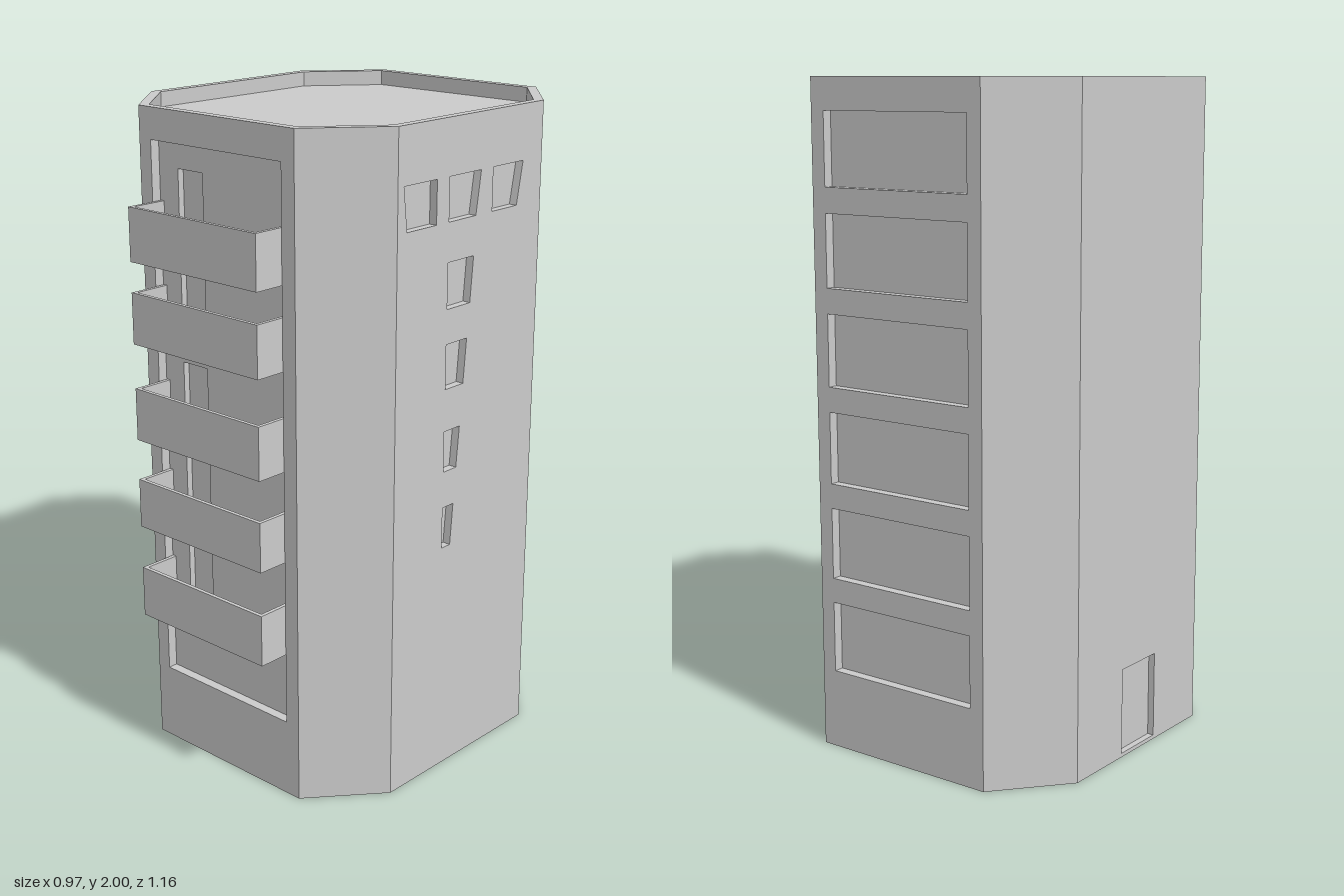
import * as THREE from 'three';

const material = new THREE.MeshStandardMaterial({ color: 0xcccccc, flatShading: true, side: THREE.DoubleSide });

function mesh(name, geometry) {
  const m = new THREE.Mesh(geometry, material);
  m.name = name;
  return m;
}

// Corners of an upright opening, optionally slanted at its two sides
function opening(x0, x1, y0, y1, depth, holes = [], bottomX0 = x0, bottomX1 = x1) {
  return { points: [[bottomX0, y0], [bottomX1, y0], [x1, y1], [x0, y1]], depth, holes };
}

// Flat panel facing local +z; each opening gets its reveal and a sunken panel of its own
function addPanel(group, name, points, holes = [], z = 0) {
  const toVectors = (list) => list.map(([x, y]) => new THREE.Vector2(x, y));
  const shape = new THREE.Shape(toVectors(points));
  for (const hole of holes) shape.holes.push(new THREE.Path(toVectors(hole.points)));
  group.add(mesh(name, new THREE.ShapeGeometry(shape).translate(0, 0, z)));

  for (const hole of holes) {
    const back = z - hole.depth;
    const position = [];
    hole.points.forEach(([ax, ay], i) => {
      const [bx, by] = hole.points[(i + 1) % hole.points.length];
      position.push(ax, ay, z, bx, by, z, bx, by, back, ax, ay, z, bx, by, back, ax, ay, back);
    });
    const reveal = new THREE.BufferGeometry();
    reveal.setAttribute('position', new THREE.Float32BufferAttribute(position, 3));
    reveal.computeVertexNormals();
    group.add(mesh(name + 'Reveal', reveal));
    addPanel(group, name + 'Recess', hole.points, hole.holes, back);
  }
}

export function createModel() {
  const model = new THREE.Group();
  model.name = 'towerBlock';
  const height = 2;

  // Plan corners (x, z), starting at the front wall
  const plan = [[-0.305, 0.484], [0.305, 0.484], [0.485, 0.275], [0.485, -0.37],
    [0.305, -0.58], [-0.305, -0.58], [-0.485, -0.37], [-0.485, 0.275]];
  const roofPlan = [[-0.292, 0.455], [0.292, 0.455], [0.457, 0.263], [0.457, -0.358],
    [0.292, -0.552], [-0.292, -0.552], [-0.457, -0.358], [-0.457, 0.263]];

  // Balcony bottom, balcony top, door top
  const floors = [[1.57, 1.73, 1.83], [1.325, 1.48, 1.553], [1.03, 1.19, 1.258],
    [0.753, 0.905, 0.97], [0.46, 0.618, 0.683]];

  // Front: one tall recess with a door on every balcony
  const doors = floors.map(([y0, , top]) => opening(-0.18, -0.08, y0 + 0.012, top, 0.02));
  const frontHoles = [opening(-0.258, 0.256, 0.24, 1.907, 0.03, doors)];

  // Back: six wide windows
  const backHoles = [];
  for (let i = 0; i < 6; i++) {
    const y = 0.24 + i * 0.29;
    backHoles.push(opening(-0.258, 0.258, y, y + 0.215, 0.03));
  }

  // Left side: three slanted windows above a column of narrowing ones
  const d = 0.025;
  const sideHoles = [
    opening(-0.25, -0.11, 1.71, 1.837, d, [], -0.235, -0.11),
    opening(-0.055, 0.085, 1.71, 1.837, d, [], -0.055, 0.065),
    opening(0.14, 0.28, 1.71, 1.837, d, [], 0.14, 0.255),
    opening(-0.055, 0.06, 1.46, 1.595, d, [], -0.055, 0.048),
    opening(-0.055, 0.038, 1.223, 1.357, d, [], -0.055, 0.026),
    opening(-0.055, 0.015, 0.97, 1.095, d, [], -0.055, 0.003),
    opening(-0.055, -0.006, 0.73, 0.858, d, [], -0.055, -0.017),
  ];

  // Right side: entrance door
  const entranceHoles = [opening(-0.137, 0.04, 0.012, 0.275, 0.02)];

  // Eight walls, each in its own frame
  const walls = [['frontWall', frontHoles], ['frontLeftCorner'], ['leftWall', sideHoles], ['backLeftCorner'],
    ['backWall', backHoles], ['backRightCorner'], ['rightWall', entranceHoles], ['frontRightCorner']];
  walls.forEach(([name, holes], i) => {
    const a = new THREE.Vector2(...plan[i]);
    const b = new THREE.Vector2(...plan[(i + 1) % plan.length]);
    const along = b.clone().sub(a).normalize();
    const x0 = a.dot(along), x1 = b.dot(along);
    const origin = a.clone().addScaledVector(along, -x0);
    const wall = new THREE.Group();
    wall.name = name;
    wall.position.set(origin.x, 0, origin.y);
    wall.rotation.y = Math.atan2(-along.y, along.x);
    addPanel(wall, name + 'Panel', [[x0, 0], [x1, 0], [x1, height], [x0, height]], holes);
    model.add(wall);
  });

  // Roof sunk behind a low parapet
  const roof = new THREE.Group();
  roof.name = 'roof';
  roof.rotation.x = -Math.PI / 2;
  roof.position.y = height;
  const flip = ([x, z]) => [x, -z];
  addPanel(roof, 'parapet', plan.map(flip), [{ points: roofPlan.map(flip), depth: 0.045, holes: [] }]);
  model.add(roof);

  // Underside
  const base = new THREE.Group();
  base.name = 'base';
  base.rotation.x = Math.PI / 2;
  addPanel(base, 'underside', plan);
  model.add(base);

  // Balconies: open trays of thin slabs
  const t = 0.012, half = 0.254, zBack = 0.455, zFront = 0.58;
  const slab = (group, name, w, h, depth, x, y, z) =>
    group.add(mesh(name, new THREE.BoxGeometry(w, h, depth).translate(x, y, z)));
  floors.forEach(([y0, y1]) => {
    const balcony = new THREE.Group();
    balcony.name = 'balcony';
    const h = y1 - y0, depth = zFront - zBack - t, zMid = zBack + depth / 2;
    slab(balcony, 'balconyFront', 2 * half, h, t, 0, y0 + h / 2, zFront - t / 2);
    slab(balcony, 'balconyFloor', 2 * (half - t), t, depth, 0, y0 + t / 2, zMid);
    for (const s of [-1, 1]) slab(balcony, 'balconySide', t, h, depth, s * (half - t / 2), y0 + h / 2, zMid);
    model.add(balcony);
  });

  return model;
}
